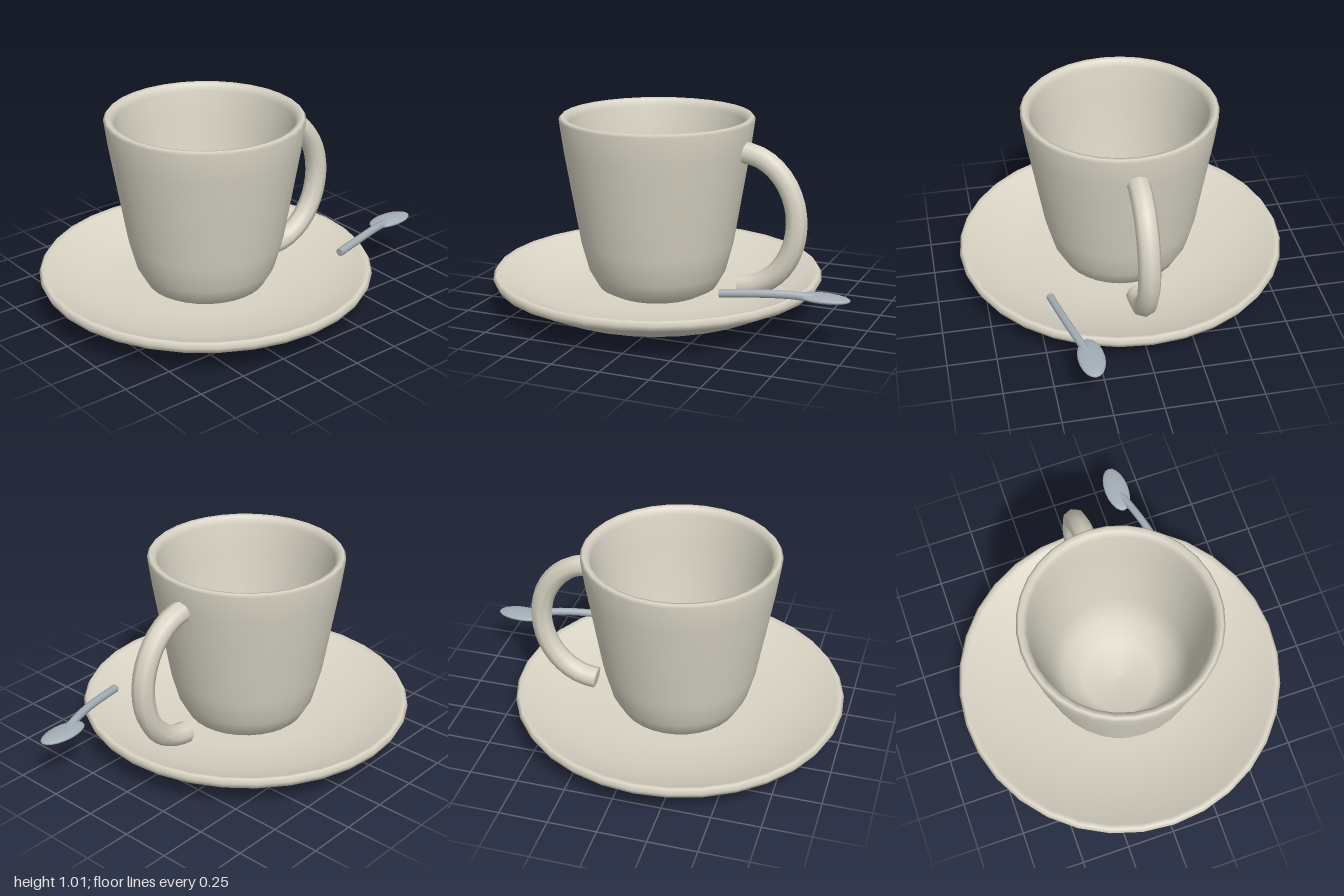
import * as THREE from 'three';

const V = (x, y, z) => new THREE.Vector3(x, y, z);

// Smooth turned part from [radius, height] pairs, bottom centre to inner centre
function turned(name, profile, segments, material) {
  const points = profile.map(([r, y]) => new THREE.Vector2(r, y));
  const mesh = new THREE.Mesh(new THREE.LatheGeometry(points, segments), material);
  mesh.name = name;
  return mesh;
}

// Tube along a smooth path, closed with a disc at both ends
function cappedTube(name, points, steps, radius, sides, material) {
  const group = new THREE.Group();
  group.name = name;
  const curve = new THREE.CatmullRomCurve3(points);
  group.add(new THREE.Mesh(new THREE.TubeGeometry(curve, steps, radius, sides), material));
  for (const t of [0, 1]) {
    const cap = new THREE.Mesh(new THREE.CircleGeometry(radius, sides), material);
    cap.name = name + 'End';
    const out = curve.getTangent(t).multiplyScalar(t ? 1 : -1);
    cap.position.copy(curve.getPoint(t));
    cap.quaternion.setFromUnitVectors(V(0, 0, 1), out);
    group.add(cap);
  }
  return group;
}

export function createModel() {
  const china = new THREE.MeshStandardMaterial({ name: 'cream china', color: 0xd9d4c5 });
  const steel = new THREE.MeshStandardMaterial({ name: 'grey steel', color: 0xa3aeb5 });
  const model = new THREE.Group();
  model.name = 'cupAndSaucer';
  const centreX = -0.14;

  // Saucer with a rolled rim and a shallow well
  const saucer = turned('saucer', [
    [0, 0], [0.35, 0.003], [0.63, 0.04], [0.845, 0.145], [0.86, 0.175],
    [0.845, 0.198], [0.82, 0.19], [0.62, 0.1], [0.36, 0.07], [0, 0.065],
  ], 32, china);

  // Cup with a thin wall and rounded foot
  const cup = turned('cup', [
    [0, 0.075], [0.25, 0.078], [0.31, 0.11], [0.36, 0.2], [0.4, 0.35], [0.482, 0.84],
    [0.503, 0.995], [0.49, 1.01], [0.467, 1.005], [0.45, 0.97], [0.43, 0.82],
    [0.36, 0.37], [0.3, 0.22], [0.2, 0.15], [0, 0.13],
  ], 32, china);
  saucer.position.x = cup.position.x = centreX;
  model.add(saucer, cup);

  // Ear-shaped handle, half an ellipse
  const arc = [];
  for (let i = 0; i <= 12; i++) {
    const a = Math.PI * (0.5 - i / 12);
    arc.push(V(0.32 + 0.297 * Math.cos(a), 0.505 + 0.35 * Math.sin(a), 0));
  }
  model.add(cappedTube('cupHandle', arc, 20, 0.057, 8, china));

  // Spoon: slim stem and a flattened oval bowl
  const spoon = new THREE.Group();
  spoon.name = 'spoon';
  spoon.add(cappedTube('spoonStem', [
    V(0.38, 0.26, 0.455), V(0.6, 0.272, 0.408), V(0.72, 0.27, 0.375), V(0.83, 0.258, 0.342),
  ], 8, 0.021, 8, steel));
  const bowl = new THREE.Mesh(new THREE.SphereGeometry(1, 20, 12), steel);
  bowl.name = 'spoonBowl';
  bowl.scale.set(0.135, 0.02, 0.066);
  bowl.position.set(0.862, 0.259, 0.331);
  spoon.add(bowl);
  model.add(spoon);

  return model;
}
